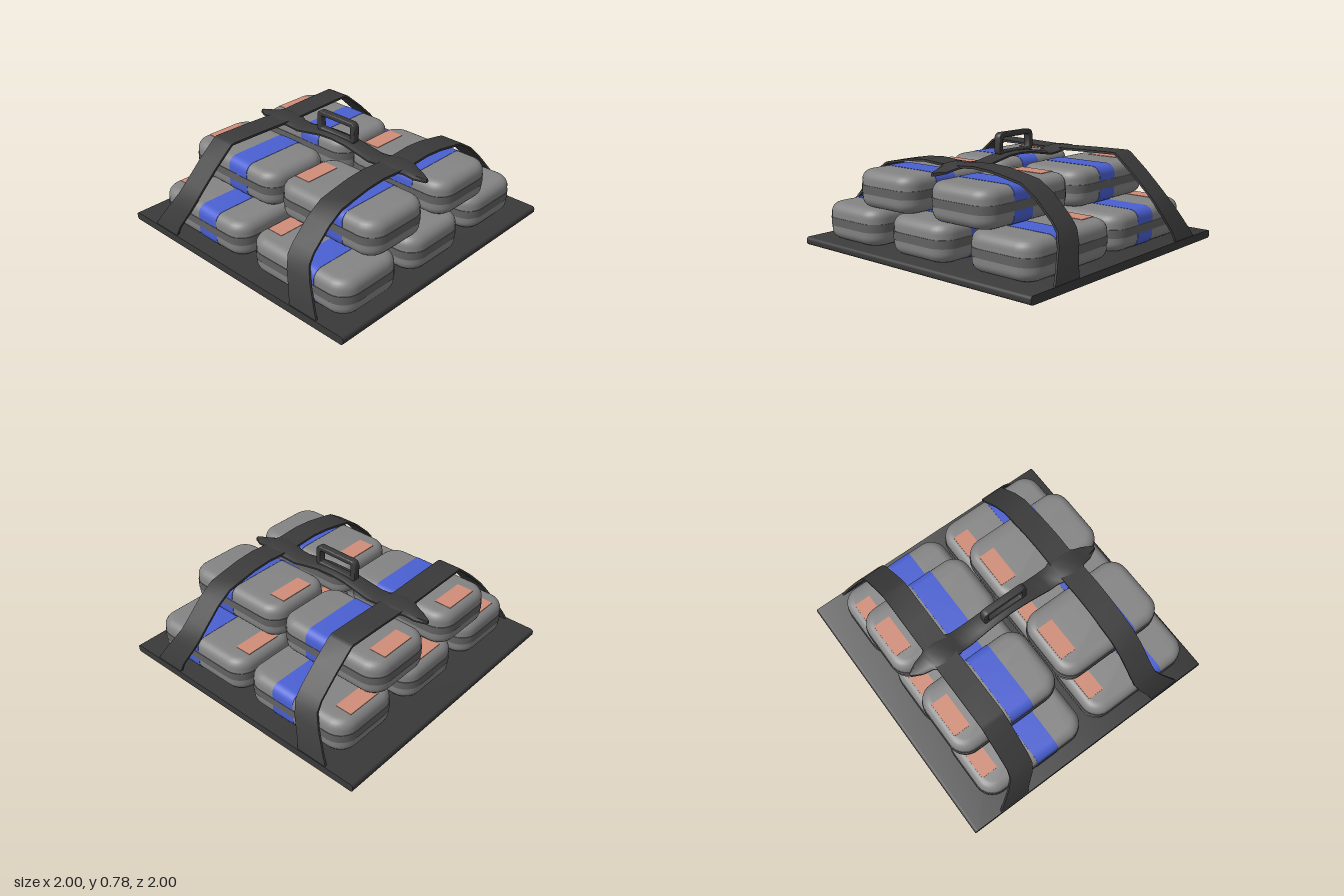
import * as THREE from 'three';
import { toCreasedNormals } from 'three/addons/utils/BufferGeometryUtils.js';

const mat = (color) => new THREE.MeshStandardMaterial({ color });
const dark = mat(0x3a3a3a), grey = mat(0x848484), bandGrey = mat(0x626262);
const blue = mat(0x4a60d2), orange = mat(0xd08d78);

// Skin a stack of equal-sized rings (counter-clockwise seen from the stack direction), capped at both ends
function loft(rings, crease = 0.6) {
  const n = rings[0].length, m = rings.length, pos = rings.flat(2), idx = [];
  for (let i = 0; i < m - 1; i++) for (let j = 0; j < n; j++) {
    const a = i * n + j, b = i * n + (j + 1) % n;
    idx.push(a, b, b + n, a, b + n, a + n);
  }
  for (let j = 1; j < n - 1; j++) {
    idx.push(0, j + 1, j);
    const o = (m - 1) * n;
    idx.push(o, o + j, o + j + 1);
  }
  const g = new THREE.BufferGeometry();
  g.setAttribute('position', new THREE.Float32BufferAttribute(pos, 3));
  g.setIndex(idx);
  return toCreasedNormals(g, crease);
}

// Rounded rectangle outline, counter-clockwise
function roundRect(hw, hh, r, seg = 7) {
  const out = [];
  [[1, 1], [-1, 1], [-1, -1], [1, -1]].forEach(([sx, sy], k) => {
    for (let i = 0; i <= seg; i++) {
      const a = (k + i / seg) * Math.PI / 2;
      out.push([sx * (hw - r) + r * Math.cos(a), sy * (hh - r) + r * Math.sin(a)]);
    }
  });
  return out;
}

function add(parent, geometry, material, name) {
  const mesh = new THREE.Mesh(geometry, material);
  mesh.name = name;
  parent.add(mesh);
  return mesh;
}

// Case dimensions: half sizes, plan corner radius, edge radius
const HX = 0.415, HY = 0.125, HZ = 0.26, RP = 0.125, RE = 0.065;
const planRing = (inset, y) =>
  roundRect(HX - inset, HZ - inset, RP - inset).map(([a, b]) => [a, y, -b]);

function caseGeometry() {
  const rings = [], seg = 6;
  for (let i = 0; i <= seg; i++) {
    const a = i / seg * Math.PI / 2;
    rings.push(planRing(RE * (1 - Math.sin(a)), -HY + RE * (1 - Math.cos(a))));
  }
  const top = rings.map((r) => r.map(([x, y, z]) => [x, -y, z])).reverse();
  return loft([...rings, ...top]);
}

// Webbing strap: path points are [z, y, inner x, outer x], mirrored front to back
function strapGeometry(path, side) {
  const full = [...path, ...path.map(([z, ...rest]) => [-z, ...rest]).reverse()];
  const t = 0.016;
  return loft(full.map(([z, y, xi, xo], i) => {
    const p = full[Math.max(i - 1, 0)], q = full[Math.min(i + 1, full.length - 1)];
    const dz = q[0] - p[0], dy = q[1] - p[1], l = Math.hypot(dz, dy);
    const nz = dy / l * t, ny = -dz / l * t; // outward normal times thickness
    const lo = Math.min(side * xi, side * xo), hi = Math.max(side * xi, side * xo);
    return [[hi, y - ny, z - nz], [lo, y - ny, z - nz], [lo, y, z], [hi, y, z]];
  }));
}

export function createModel() {
  const model = new THREE.Group();
  model.name = 'strappedCaseStack';

  // Base board with softened left and right edges
  const board = loft([-1, 1].map((s) =>
    roundRect(1, 0.0275, 0.02, 4).map(([x, y]) => [x, y + 0.0275, s])));
  add(model, board, dark, 'baseBoard');

  // Cases: body, dark seam band, blue stripe and label
  const body = caseGeometry();
  const band = loft([-0.028, 0.028].map((y) => planRing(-0.004, y)));
  const stripe = loft([-0.005, 0.17].map((x) =>
    roundRect(HY + 0.002, HZ + 0.002, RE).map(([y, z]) => [x, y, z])));
  const label = new THREE.BoxGeometry(0.122, 0.012, 0.26);
  const layout = [ // x, y, z of each case
    [-0.4, 0.18, 0.64], [-0.4, 0.18, 0.015], [-0.405, 0.18, -0.625],
    [0.5, 0.18, 0.64], [0.495, 0.18, 0.015], [0.462, 0.18, -0.635],
    [-0.405, 0.432, 0.355], [-0.405, 0.432, -0.315],
    [0.46, 0.432, 0.355], [0.46, 0.432, -0.305],
  ];
  for (const p of layout) {
    const box = new THREE.Group();
    box.name = 'case';
    box.position.set(...p);
    add(box, body, grey, 'caseBody');
    add(box, band, bandGrey, 'seamBand');
    add(box, stripe, blue, 'stripe');
    add(box, label, orange, 'label').position.set(-0.305, HY - 0.003, 0);
    model.add(box);
  }

  // Two straps over the stack, flaring outward at the feet
  const foot = [
    [0.995, 0.05, 0.55, 0.78], [0.975, 0.12, 0.53, 0.74], [0.93, 0.24, 0.47, 0.665],
    [0.89, 0.32, 0.44, 0.62], [0.84, 0.38, 0.435, 0.61], [0.71, 0.505, 0.435, 0.61],
  ];
  const crown = (pts) => [...foot, ...pts.map(([z, y]) => [z, y, 0.435, 0.61])];
  const tight = crown([[0.575, 0.62], [0.55, 0.631], [0.3, 0.627], [0.06, 0.62]]);
  const soft = crown([[0.6, 0.575], [0.5, 0.595], [0.36, 0.62], [0.22, 0.63], [0.06, 0.62]]);
  add(model, strapGeometry(tight, -1), dark, 'rightStrap');
  add(model, strapGeometry(soft, 1), dark, 'leftStrap');

  // Curved cross bar joining the straps: |x|, top height, half width
  const half = [
    [0.77, 0.59, 0.012], [0.7, 0.6, 0.05], [0.63, 0.617, 0.067], [0.6, 0.626, 0.09],
    [0.52, 0.63, 0.088], [0.44, 0.622, 0.09], [0.4, 0.61, 0.076], [0.33, 0.605, 0.075],
    [0.22, 0.624, 0.07], [0.11, 0.642, 0.067], [0, 0.647, 0.065],
  ];
  const sections = [...half.map(([x, y, w]) => [-x, y, w]), ...half.slice(0, -1).reverse()];
  const bar = loft(sections.map(([x, y, w]) => {
    const z = -0.015, t = 0.024;
    return [[y - t, z - w], [y - 0.012, z - w], [y, z - w * 0.6], [y, z + w * 0.6],
      [y - 0.012, z + w], [y - t, z + w]].map(([b, c]) => [x, b, c]);
  }));
  add(model, bar, dark, 'crossBar');

  // Carrying handle: rounded frame with an opening
  const toPath = (pts) => pts.map(([x, y]) => new THREE.Vector2(x, y));
  const frame = new THREE.Shape(toPath(roundRect(0.168, 0.073, 0.032, 5)));
  frame.holes.push(new THREE.Path(toPath(roundRect(0.14, 0.05, 0.016, 4)).reverse()));
  const handle = new THREE.ExtrudeGeometry(frame, {
    depth: 0.034, bevelThickness: 0.008, bevelSize: 0.006, bevelSegments: 3,
  });
  handle.translate(-0.007, 0.701, -0.032);
  add(model, toCreasedNormals(handle, 0.7), dark, 'carryHandle');

  return model;
}
